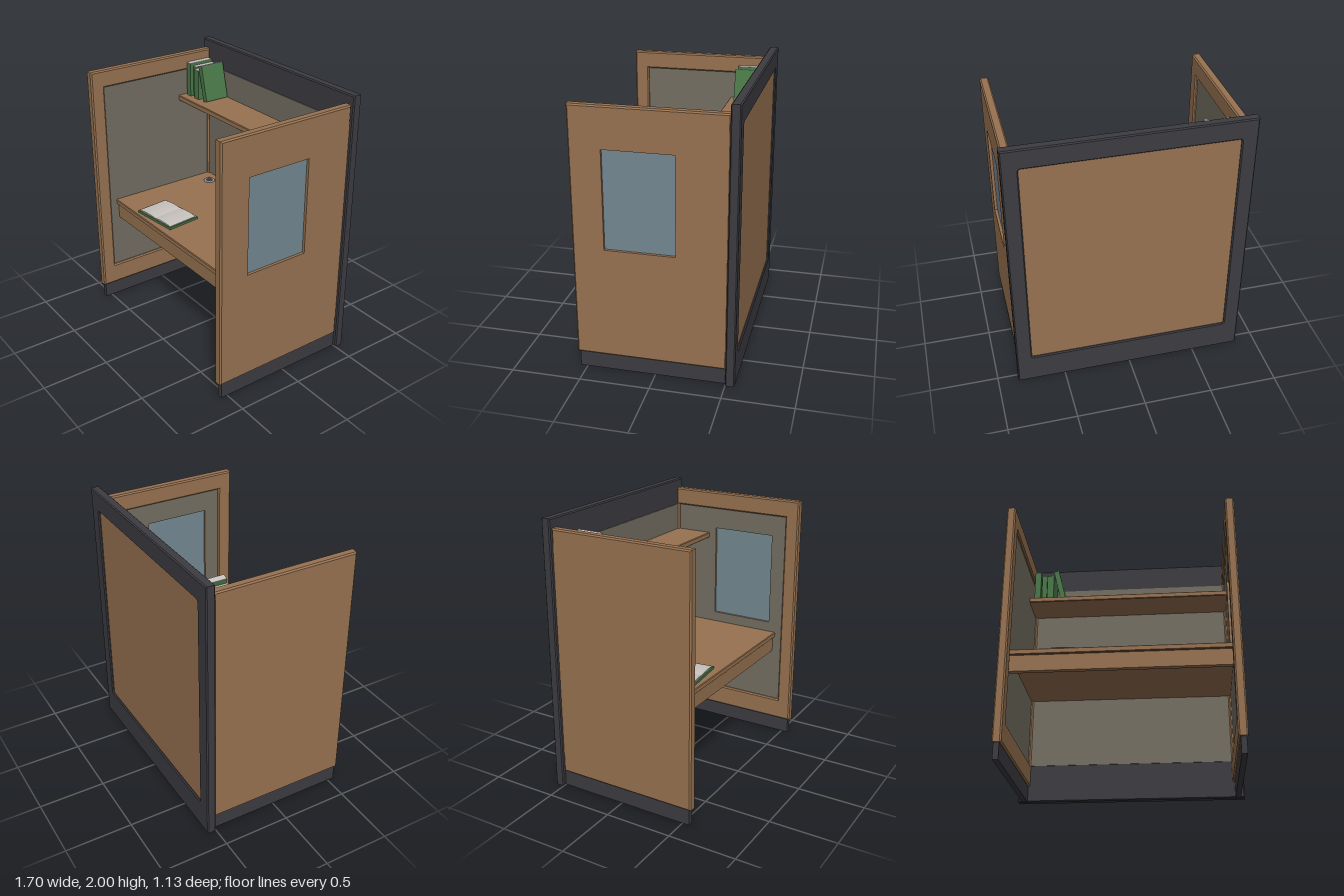
import * as THREE from 'three';

const mat = (name, color) => {
  const m = new THREE.MeshStandardMaterial({ color });
  m.name = name;
  return m;
};

// Rectangle outline from two corners, with optional rounded corners
function rect(path, [x0, y0, x1, y1], r = 0) {
  path.moveTo(x0 + r, y0);
  path.lineTo(x1 - r, y0);
  if (r) path.quadraticCurveTo(x1, y0, x1, y0 + r);
  path.lineTo(x1, y1 - r);
  if (r) path.quadraticCurveTo(x1, y1, x1 - r, y1);
  path.lineTo(x0 + r, y1);
  if (r) path.quadraticCurveTo(x0, y1, x0, y1 - r);
  path.lineTo(x0, y0 + r);
  if (r) path.quadraticCurveTo(x0, y0, x0 + r, y0);
  return path;
}

// Board with an optional hole, lying in the xy plane, z from 0 to depth
function board(outline, depth, hole, bevel = 0, holeRadius = 0) {
  const shape = rect(new THREE.Shape(), outline);
  if (hole) shape.holes.push(rect(new THREE.Path(), hole, holeRadius));
  const geo = new THREE.ExtrudeGeometry(shape, {
    depth: depth - 2 * bevel, curveSegments: 4, bevelEnabled: bevel > 0,
    bevelThickness: bevel, bevelSize: bevel, bevelOffset: -bevel, bevelSegments: 1,
  });
  return geo.translate(0, 0, bevel);
}

// Board turned to stand in the zy plane between two x positions
const sideBoard = ([x0, x1], outline, hole, bevel) =>
  board(outline, x1 - x0, hole, bevel).rotateY(-Math.PI / 2).translate(x1, 0, 0);

export function createModel() {
  const root = new THREE.Group();
  root.name = 'studyCarrel';
  const wood = mat('wood', 0x977251);
  const dark = mat('darkFrame', 0x3c3b41);
  const fabric = mat('fabric', 0x736e62);
  const glass = mat('glass', 0x748891);
  const green = mat('bookCover', 0x4a7848);
  const paper = mat('paper', 0xc9c3bf);
  const metal = mat('grommetMetal', 0x8e8e90);

  const add = (name, geo, material, parent = root) => {
    const mesh = new THREE.Mesh(geo, material);
    mesh.name = name;
    parent.add(mesh);
    return mesh;
  };
  // Box given by its limits on each axis
  const box = (name, material, x0, x1, y0, y1, z0, z1) =>
    add(name, new THREE.BoxGeometry(x1 - x0, y1 - y0, z1 - z0)
      .translate((x0 + x1) / 2, (y0 + y1) / 2, (z0 + z1) / 2), material);

  // Back wall: dark frame, wooden rear panel, fabric front
  add('backFrame', board([-0.852, 0, 0.852, 2], 0.067, [-0.74, 0.22, 0.74, 1.855], 0.008, 0.02)
    .translate(0, 0, -0.567), dark);
  box('backFrameFiller', dark, -0.76, 0.76, 0.2, 1.875, -0.53, -0.5);
  box('backWoodPanel', wood, -0.745, 0.745, 0.215, 1.86, -0.553, -0.53);
  box('backFabric', fabric, -0.792, 0.792, 0.28, 1.8, -0.5, -0.495);

  // Side walls with a fabric recess inside; only the left one has a window
  const windowHole = [-0.148, 0.93, 0.345, 1.64];
  for (const s of [-1, 1]) {
    const at = (a, b) => (s > 0 ? [a, b] : [-b, -a]);
    const hole = s > 0 ? windowHole : undefined;
    const side = s > 0 ? 'left' : 'right';
    add(side + 'WallFrame', sideBoard(at(0.767, 0.832),
      [-0.502, 0.117, 0.567, 1.932], [-0.482, 0.28, 0.46, 1.8], 0.01), wood);
    add(side + 'WallCore', sideBoard(at(0.79, 0.832),
      [-0.495, 0.265, 0.475, 1.815], hole), wood);
    add(side + 'WallFabric', sideBoard(at(0.786, 0.79),
      [-0.49, 0.275, 0.465, 1.805], hole), fabric);
    box(side + 'WallBase', dark, ...at(0.782, 0.822), 0, 0.13, -0.5, 0.55);
  }
  box('windowGlass', glass, 0.803, 0.811, 0.92, 1.65, -0.16, 0.355);

  // Shelf, desk top and apron
  const plank = (name, y0, y1, z1) =>
    add(name, board([-0.788, y0, 0.788, y1], z1 + 0.5, undefined, 0.005)
      .translate(0, 0, -0.5), wood);
  plank('shelf', 1.555, 1.596, -0.207);
  plank('deskTop', 0.812, 0.852, 0.404);
  box('deskApron', wood, -0.788, 0.788, 0.692, 0.816, 0.345, 0.385);

  // Cable grommets at the back of the desk
  for (const x of [-0.64, 0.64]) {
    const ring = add('grommetRing', new THREE.TorusGeometry(0.035, 0.011, 8, 24)
      .rotateX(Math.PI / 2).scale(1, 0.8, 1), metal);
    ring.position.set(x, 0.854, -0.4);
    const cap = add('grommetCap', new THREE.CylinderGeometry(0.028, 0.028, 0.006, 20), dark);
    cap.position.set(x, 0.855, -0.4);
  }

  // Books on the shelf: x, thickness, height, depth, lean
  const books = [
    [-0.762, 0.049, 0.266, 0.205, 0],
    [-0.708, 0.04, 0.245, 0.18, 0],
    [-0.661, 0.054, 0.235, 0.205, 0],
    [-0.545, 0.043, 0.278, 0.2, 0.24],
  ];
  for (const [x, w, h, d, lean] of books) {
    const book = new THREE.Group();
    book.name = 'shelfBook';
    const bound = h - 0.003;
    add('bookCover', new THREE.BoxGeometry(w, bound, d).translate(w / 2, bound / 2, d / 2), green, book);
    add('bookPages', new THREE.BoxGeometry(w, 0.003, d).translate(w / 2, bound + 0.0015, d / 2), paper, book);
    book.position.set(x, 1.596, -0.48);
    book.rotation.z = lean;
    root.add(book);
  }

  // Open book on the desk, its pages gently waved on both sides of the fold
  const open = new THREE.Group();
  open.name = 'openBook';
  add('openBookCover', new THREE.BoxGeometry(0.386, 0.017, 0.271).translate(0, 0.0085, 0), green, open);
  const wave = new THREE.Shape();
  wave.moveTo(-0.181, 0.015);
  wave.lineTo(0.181, 0.015);
  wave.lineTo(0.181, 0.02);
  wave.bezierCurveTo(0.12, 0.03, 0.05, 0.031, 0, 0.021);
  wave.bezierCurveTo(-0.05, 0.031, -0.12, 0.03, -0.181, 0.02);
  wave.closePath();
  add('openBookPages', new THREE.ExtrudeGeometry(wave, { depth: 0.25, bevelEnabled: false, curveSegments: 8 })
    .translate(0, 0, -0.125), paper, open);
  open.position.set(-0.316, 0.852, 0.224);
  open.rotation.y = 0.104;
  root.add(open);

  return root;
}
